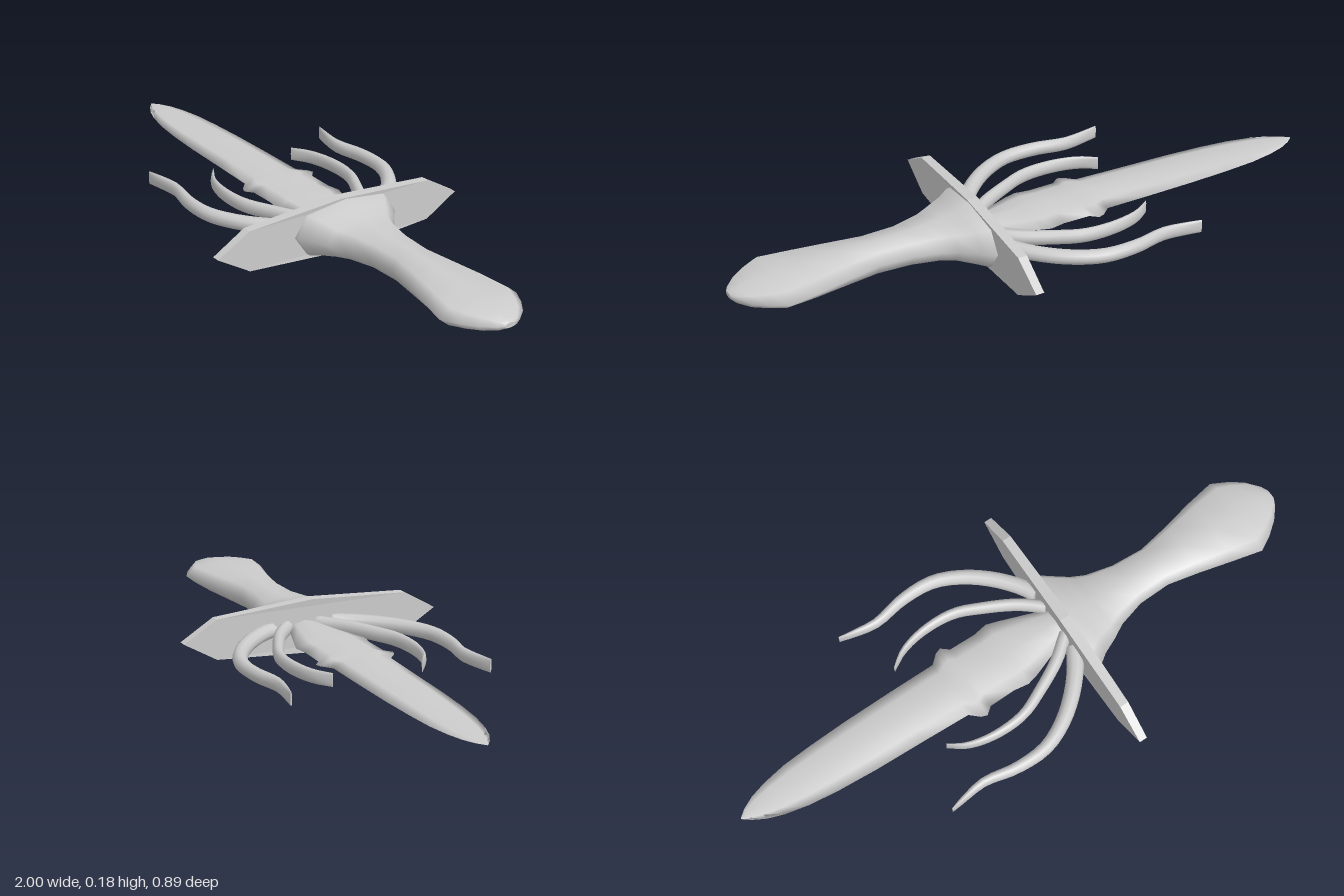
import * as THREE from 'three';

const MID = 0.091; // height of the long axis
const material = new THREE.MeshStandardMaterial({ color: 0xcccccc });

// cross-section outlines as [across, up] factors
const OCTAGON = [[1, 0], [0.76, 0.78], [0, 1], [-0.76, 0.78], [-1, 0], [-0.76, -0.78], [0, -1], [0.76, -0.78]];
const LENS = [[1, 0], [0.62, 0.6], [0, 1], [-0.62, 0.6], [-1, 0], [-0.62, -0.6], [0, -1], [0.62, -0.6]];
const ROUND = Array.from({ length: 10 }, (_, i) => [Math.cos(i * Math.PI / 5), Math.sin(i * Math.PI / 5)]);

// skin a row of stations {p, d, w, h}: centre, travel direction, half width, half height
function loft(name, stations, outline) {
  const n = outline.length, pos = [], idx = [];
  const up = new THREE.Vector3(0, 1, 0);
  const addRing = ({ p, d, w, h }) => {
    const side = up.clone().cross(d).normalize();
    for (const [u, v] of outline) pos.push(p.x + side.x * u * w, p.y + v * h, p.z + side.z * u * w);
  };
  stations.forEach(addRing);
  for (let s = 0; s < stations.length - 1; s++) {
    for (let i = 0; i < n; i++) {
      const a = s * n + i, b = s * n + (i + 1) % n;
      idx.push(a, b, b + n, a, b + n, a + n);
    }
  }
  // flat caps with their own vertices
  [stations[0], stations[stations.length - 1]].forEach((st, end) => {
    const start = pos.length / 3;
    addRing(st);
    pos.push(st.p.x, st.p.y, st.p.z);
    for (let i = 0; i < n; i++) {
      const a = start + i, b = start + (i + 1) % n;
      idx.push(start + n, end ? a : b, end ? b : a);
    }
  });
  const geo = new THREE.BufferGeometry();
  geo.setAttribute('position', new THREE.Float32BufferAttribute(pos, 3));
  geo.setIndex(idx);
  geo.computeVertexNormals();
  const mesh = new THREE.Mesh(geo, material);
  mesh.name = name;
  return mesh;
}

// stations along -x from rows of [x, back z, front z, half height]
const straight = rows => rows.map(([x, z0, z1, h]) => ({
  p: new THREE.Vector3(x, MID, (z0 + z1) / 2), d: new THREE.Vector3(-1, 0, 0), w: (z1 - z0) / 2, h,
}));

// curved prong, tall and thinning sideways towards its tip
function prong(name, points, baseWidth, sign) {
  const axis = -0.035;
  const curve = new THREE.CatmullRomCurve3(points.map(([x, off]) => {
    const z = axis + sign * off;
    return new THREE.Vector3(x - 0.022 * (z - axis), MID + 0.004, z);
  }));
  const stations = [];
  for (let i = 0; i <= 22; i++) {
    const t = i / 22;
    stations.push({
      p: curve.getPointAt(t), d: curve.getTangentAt(t),
      w: baseWidth * (1 - 0.3 * t) * Math.sqrt(1 - 0.98 * t ** 3), h: 0.025 - 0.002 * t,
    });
  }
  return loft(name, stations, ROUND);
}

function makeGuard() {
  const shape = new THREE.Shape([
    [-0.447, 0], [-0.335, -0.067], [0, -0.09], [0.335, -0.067], [0.447, 0], [0.335, 0.067], [0, 0.09], [-0.335, 0.067],
  ].map(([z, y]) => new THREE.Vector2(-z, y)));
  const geo = new THREE.ExtrudeGeometry(shape, { depth: 1, bevelEnabled: false });
  geo.rotateY(Math.PI / 2);
  // thin the plate towards its ends and lean it slightly
  const p = geo.attributes.position;
  for (let i = 0; i < p.count; i++) {
    const z = p.getZ(i), thick = 0.036 - 0.03 * Math.abs(z) ** 1.5;
    p.setX(i, 0.18 - 0.022 * z + (p.getX(i) - 0.5) * thick);
  }
  geo.computeVertexNormals();
  const mesh = new THREE.Mesh(geo, material);
  mesh.name = 'guard';
  mesh.position.y = MID;
  return mesh;
}

export function createModel() {
  const group = new THREE.Group();
  group.name = 'dagger';

  group.add(loft('handle', straight([
    [1.0, -0.02, 0.02, 0.008], [0.988, -0.045, 0.042, 0.016], [0.955, -0.085, 0.08, 0.025],
    [0.91, -0.117, 0.115, 0.031], [0.86, -0.143, 0.143, 0.036], [0.76, -0.126, 0.119, 0.041],
    [0.645, -0.1, 0.09, 0.045], [0.54, -0.081, 0.067, 0.046], [0.43, -0.088, 0.07, 0.047],
    [0.34, -0.11, 0.095, 0.052], [0.295, -0.133, 0.12, 0.057], [0.24, -0.175, 0.145, 0.073],
    [0.205, -0.203, 0.17, 0.085], [0.18, -0.203, 0.173, 0.085],
  ]), OCTAGON));

  group.add(makeGuard());

  group.add(loft('blade', straight([
    [0.18, -0.08, 0.03, 0.023], [0.13, -0.097, 0.042, 0.023], [0.02, -0.137, 0.082, 0.023],
    [-0.02, -0.15, 0.092, 0.023], [-0.07, -0.142, 0.084, 0.023], [-0.16, -0.144, 0.085, 0.023],
    [-0.185, -0.165, 0.105, 0.022], [-0.205, -0.158, 0.098, 0.022], [-0.235, -0.132, 0.07, 0.022],
    [-0.4, -0.132, 0.063, 0.021], [-0.57, -0.13, 0.057, 0.018], [-0.7, -0.125, 0.048, 0.013],
    [-0.8, -0.118, 0.036, 0.01], [-0.88, -0.104, 0.018, 0.007], [-0.935, -0.088, -0.002, 0.005],
    [-0.975, -0.068, -0.025, 0.003], [-1.0, -0.048, -0.045, 0.001],
  ]), LENS));

  // two pairs of prongs mirrored across the blade; offsets are from its centre line
  const outer = [[0.17, 0.11], [0.14, 0.16], [0.08, 0.23], [0, 0.293], [-0.09, 0.332], [-0.2, 0.335], [-0.31, 0.315], [-0.38, 0.323], [-0.44, 0.335]];
  const inner = [[0.17, 0.055], [0.1, 0.112], [0, 0.166], [-0.09, 0.203], [-0.2, 0.208], [-0.29, 0.187], [-0.345, 0.152]];
  for (const [label, sign] of [['back', -1], ['front', 1]]) {
    group.add(prong(label + 'OuterProng', outer, 0.028, sign));
    group.add(prong(label + 'InnerProng', inner, 0.021, sign));
  }
  return group;
}
